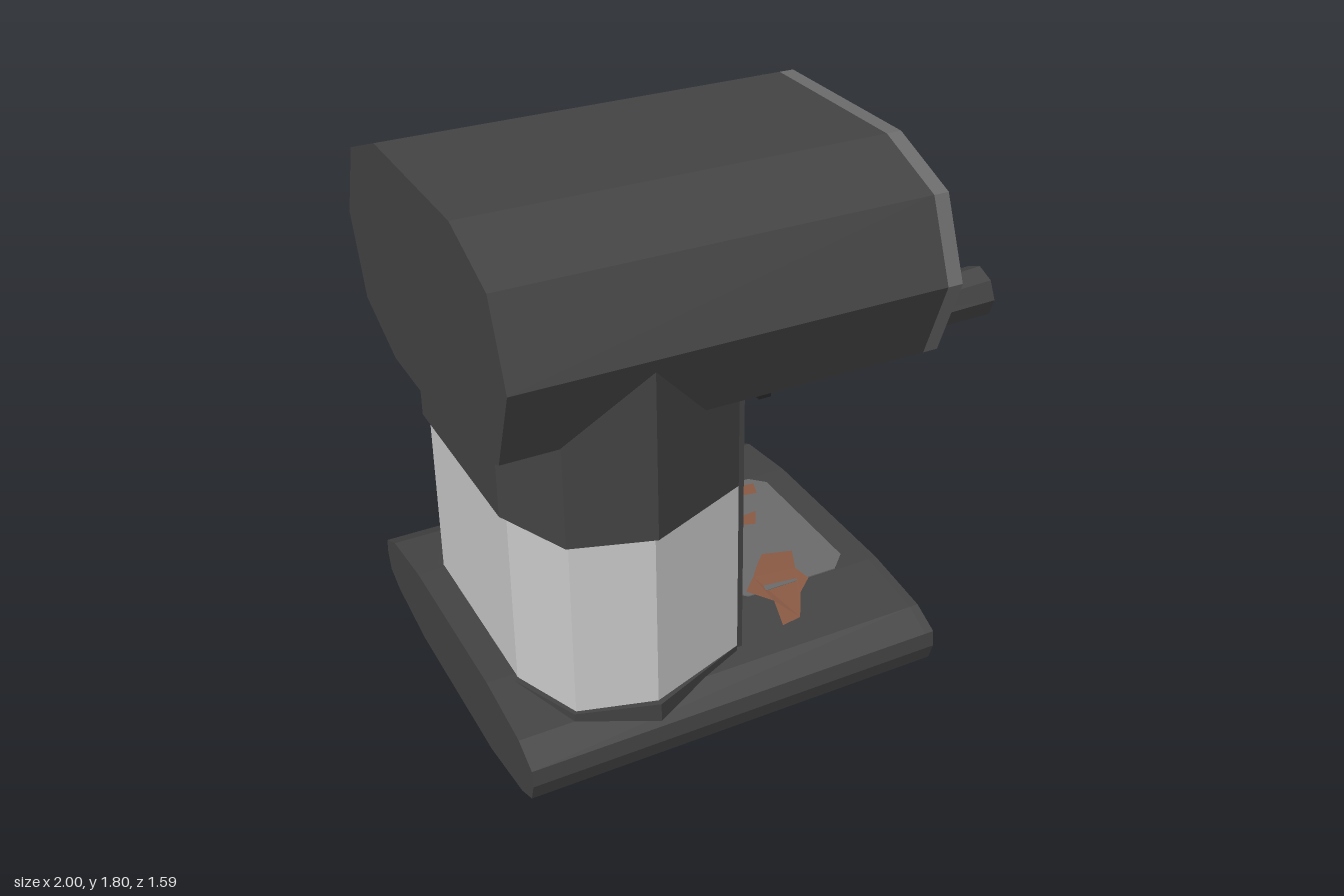
import * as THREE from 'three';

const CZ = 0.13; // the body is symmetric about this z
const mat = (color) => new THREE.MeshStandardMaterial({ color, flatShading: true });
const DARK = mat(0x444444), TRIM = mat(0x6c6c6c), METAL = mat(0xcccccc);
const BLACK = mat(0x222222), RUST = mat(0x8a5a44);
RUST.side = THREE.DoubleSide;

// mirror a half outline [offset from CZ, y], listed top to bottom
const mirrorHalf = (half) => [...half, ...half.slice().reverse().map(([a, b]) => [-a, b])];
const toShape = (pts) => new THREE.Shape(pts.map(([a, b]) => new THREE.Vector2(a, b)));
const scaled = (pts, sx, sy, cy) => pts.map(([a, b]) => [a * sx, cy + (b - cy) * sy]);
const hexagon = (r) => Array.from({ length: 6 }, (_, i) => [r * Math.cos(i * Math.PI / 3), r * Math.sin(i * Math.PI / 3)]);

// prism along x, outline in (offset from CZ, y)
function prismX(pts, x0, x1, hole) {
  const shape = toShape(pts);
  if (hole) shape.holes.push(toShape(hole));
  return new THREE.ExtrudeGeometry(shape, { depth: x1 - x0, bevelEnabled: false })
    .rotateY(Math.PI / 2).translate(x0, 0, CZ);
}

// prism along y, outline in (x, z)
function prismY(pts, y0, y1) {
  return new THREE.ExtrudeGeometry(toShape(pts.map(([x, z]) => [x, -z])), { depth: y1 - y0, bevelEnabled: false })
    .rotateX(-Math.PI / 2).translate(0, y0, 0);
}

// straight tapered rod between two points
function rod(a, b, r0, r1, sides) {
  const p = new THREE.Vector3(...a), q = new THREE.Vector3(...b), d = q.clone().sub(p);
  const g = new THREE.CylinderGeometry(r1, r0, d.length(), sides);
  g.applyQuaternion(new THREE.Quaternion().setFromUnitVectors(new THREE.Vector3(0, 1, 0), d.normalize()));
  return g.translate((a[0] + b[0]) / 2, (a[1] + b[1]) / 2, (a[2] + b[2]) / 2);
}

export function createModel() {
  const model = new THREE.Group();
  model.name = 'espressoMachine';
  const add = (name, geometry, material) => {
    const mesh = new THREE.Mesh(geometry, material);
    mesh.name = name;
    model.add(mesh);
  };

  // boiler head with a lighter rim round a recessed end panel
  const head = mirrorHalf([[0.315, 1.8], [0.57, 1.7], [0.67, 1.45], [0.57, 1.19], [0.315, 1.09]]);
  add('head', prismX(head, -1, 0.36), DARK);
  add('headRim', prismX(head, 0.36, 0.41, scaled(head, 0.91, 0.91, 1.445)), TRIM);
  add('headPanel', prismX(scaled(head, 0.92, 0.92, 1.445), 0.35, 0.4), DARK);

  // base with a recessed lighter end panel
  const base = mirrorHalf([[0.315, 0.265], [0.57, 0.235], [0.665, 0.19], [0.67, 0.135], [0.65, 0.075], [0.57, 0.04], [0.315, 0]]);
  add('base', prismX(base, -1, 0.38), DARK);
  add('baseRim', prismX(base, 0.38, 0.41, scaled(base, 0.94, 0.7, 0.133)), DARK);
  add('basePanel', prismX(scaled(base, 0.95, 0.72, 0.133), 0.37, 0.4), TRIM);

  // column in three layers sharing one eight-sided outline
  const column = (grow) => {
    const half = [[-0.235, 0.51], [-0.57, 0.63 + grow], [-0.81 - grow / 2, 0.56 + grow / 2], [-0.905 - grow, 0.33]];
    return [...half.map(([x, z]) => [x, CZ + z]), ...half.reverse().map(([x, z]) => [x, CZ - z])];
  };
  add('columnFoot', prismY(column(0.02), 0.1, 0.262), DARK);
  add('columnSleeve', prismY(column(0), 0.26, 0.862), METAL);
  add('columnCollar', prismY(column(0.022), 0.86, 1.42), DARK);
  add('columnFront', new THREE.BoxGeometry(0.02, 0.95, 1.01).translate(-0.225, 0.725, CZ), DARK);

  // pressure gauge
  const atGauge = (pts) => pts.map(([a, b]) => [a, b + 1.457]);
  add('gaugeRing', prismX(atGauge(hexagon(0.208)), 0.39, 0.435, atGauge(hexagon(0.172))), TRIM);
  add('gaugeFace', prismX(atGauge(hexagon(0.175)), 0.39, 0.42), METAL);
  add('gaugeHub', new THREE.CylinderGeometry(0.035, 0.035, 0.012, 10).rotateZ(-Math.PI / 2).translate(0.425, 1.45, CZ), BLACK);
  add('gaugeNeedle', new THREE.BoxGeometry(0.008, 0.12, 0.016).translate(0, 0.055, 0)
    .rotateX(0.35).translate(0.424, 1.45, CZ), BLACK);

  // brew group under the head
  add('groupPlate', new THREE.CylinderGeometry(0.31, 0.31, 0.05, 12).translate(0, 1.092, CZ), DARK);

  // filter holder: basket, spouts, neck and handle
  const hex = (rTop, rBottom, y0, y1) => new THREE.CylinderGeometry(rTop, rBottom, y1 - y0, 6)
    .rotateY(Math.PI / 6).translate(0.09, (y0 + y1) / 2, CZ);
  add('basket', hex(0.18, 0.18, 0.96, 1.07), METAL);
  add('basketBottom', hex(0.18, 0.13, 0.905, 0.96), METAL);
  for (const s of [-1, 1]) {
    add('spout', new THREE.BoxGeometry(0.045, 0.06, 0.022).translate(0.092, 0.89, CZ + s * 0.08), BLACK);
  }
  add('handleNeck', rod([0.22, 0.99, CZ], [0.5, 0.985, CZ], 0.05, 0.065, 8), METAL);
  add('handle', rod([0.49, 0.985, CZ], [0.996, 1.005, CZ], 0.08, 0.092, 8), DARK);

  // steam wand: bent pipe with a thicker grip
  const path = [[0.12, 1.2, -0.37], [0.115, 1.09, -0.405], [0.105, 1.07, -0.43], [0.075, 1.06, -0.69],
    [0.068, 1.03, -0.735], [0.065, 0.93, -0.742]];
  const pipe = new THREE.CurvePath();
  for (let i = 1; i < path.length; i++) {
    pipe.add(new THREE.LineCurve3(new THREE.Vector3(...path[i - 1]), new THREE.Vector3(...path[i])));
  }
  add('steamPipe', new THREE.TubeGeometry(pipe, 30, 0.026, 6), METAL);
  add('steamGrip', rod([0.065, 0.97, -0.735], [0.065, 0.672, -0.762], 0.036, 0.03, 6), METAL);

  // drip tray with worn patches, the largest running over the base edge
  add('dripTray', prismY([[-0.14, -0.12], [-0.08, -0.18], [0.26, -0.18], [0.31, -0.13],
    [0.31, 0.38], [0.25, 0.44], [-0.08, 0.44], [-0.14, 0.38]], 0.25, 0.269), TRIM);
  const patches = [
    [[-0.08, 0.42], [-0.02, 0.36], [0.03, 0.3], [0.07, 0.26], [0.17, 0.29], [0.13, 0.38], [0.14, 0.45], [0.08, 0.5], [0.02, 0.6], [-0.05, 0.61], [-0.02, 0.5]],
    [[0.02, 0.03], [0.07, -0.03], [0.1, 0.03], [0.18, 0.02], [0.14, 0.09], [0.08, 0.07], [0.05, 0.12]],
    [[0.13, -0.1], [0.16, -0.15], [0.26, -0.14], [0.24, -0.08], [0.18, -0.09]],
  ];
  for (const pts of patches) {
    const g = new THREE.ShapeGeometry(toShape(pts.map(([x, z]) => [x, -z]))).rotateX(-Math.PI / 2);
    const p = g.attributes.position;
    for (let i = 0; i < p.count; i++) p.setY(i, 0.273 - Math.max(0, p.getZ(i) - 0.45) * 0.12);
    add('wornPatch', g, RUST);
  }
  return model;
}
